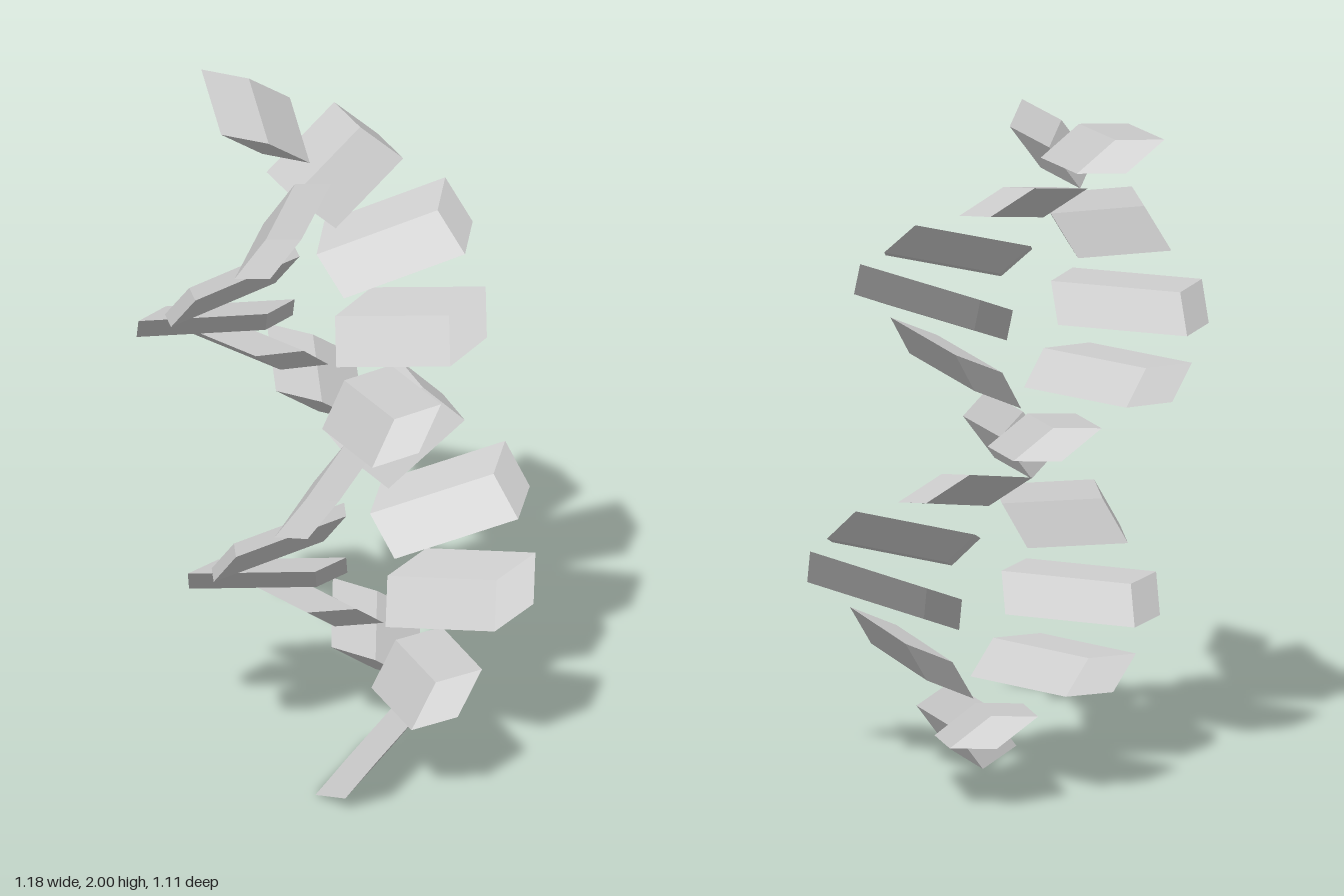
import * as THREE from 'three';

const COUNT = 20;      // blocks in the spiral
const TURN = 3.5;      // radians from one block to the next
const START = -1.972;  // heading of the lowest block
const RISE = 0.0981;   // distance along the leaning axis per block

// One skewed block: a unit box sheared to three edge directions
// (x points away from the axis, z along the turn) and moved off the axis.
function skewedBlock() {
  const along = new THREE.Vector3(0.385, 0.028, 0);
  const up = new THREE.Vector3(-0.034, 0.11, -0.11);
  const across = new THREE.Vector3(-0.067, -0.03, 0.13);
  const skew = new THREE.Matrix4().makeBasis(along, up, across).setPosition(0.289, 0, -0.043);
  return new THREE.BoxGeometry(1, 1, 1).applyMatrix4(skew);
}

export function createModel() {
  const model = new THREE.Group();
  model.name = 'spiral';
  const material = new THREE.MeshStandardMaterial({ color: 0xcccccc, flatShading: true });
  const geometry = skewedBlock();

  // Leaning axis that carries all the blocks
  const axis = new THREE.Group();
  axis.name = 'leaningAxis';
  axis.position.set(0.17, 0.104, -0.03);
  axis.rotation.set(0.031, 0, 0.177);
  model.add(axis);

  // Blocks climb the axis, each turned a little past the opposite side
  for (let i = 0; i < COUNT; i++) {
    const block = new THREE.Mesh(geometry, material);
    block.name = `block${i + 1}`;
    block.position.y = i * RISE;
    block.rotation.y = START + i * TURN;
    axis.add(block);
  }
  return model;
}
